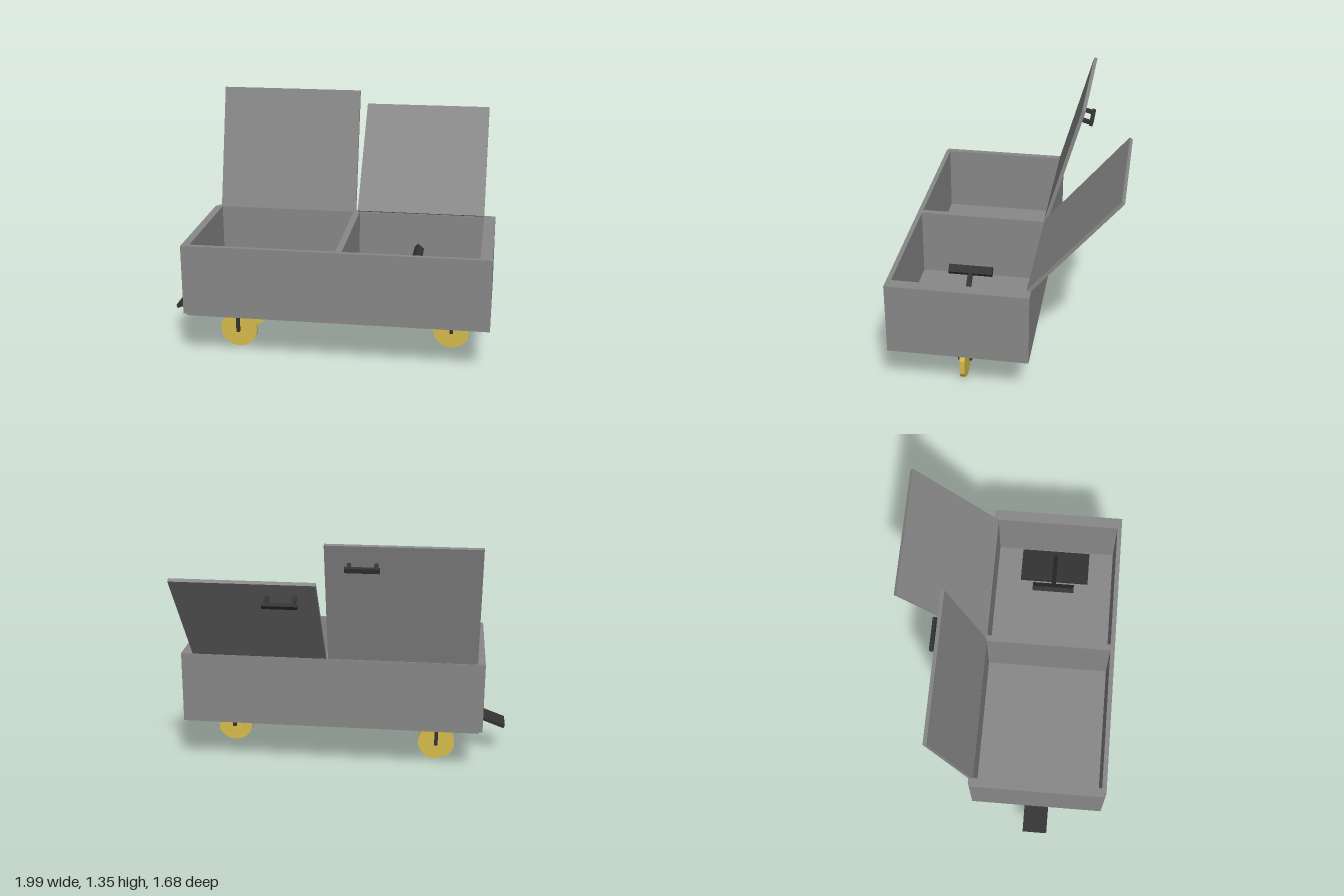
import * as THREE from 'three';

export function createModel() {
  const model = new THREE.Group();
  // everything is built along local x (length) and z (width), then turned
  const cart = new THREE.Group();
  cart.name = 'cart';
  cart.position.set(-0.1, 0, 0.06);
  cart.rotation.y = -0.588;
  model.add(cart);

  const mat = (color) => new THREE.MeshStandardMaterial({ color, flatShading: true });
  const grey = mat(0x888888), dark = mat(0x333333), yellow = mat(0xd8bc4c);

  // box given by its low and high corners
  function box(name, material, a, b, parent = cart) {
    const geo = new THREE.BoxGeometry(b[0] - a[0], b[1] - a[1], b[2] - a[2]);
    const mesh = new THREE.Mesh(geo, material);
    mesh.position.set((a[0] + b[0]) / 2, (a[1] + b[1]) / 2, (a[2] + b[2]) / 2);
    mesh.name = name;
    parent.add(mesh);
    return mesh;
  }

  // flat bar from p to q in the xy plane, w wide across z
  function bar(name, p, q, t, w) {
    const dx = q[0] - p[0], dy = q[1] - p[1];
    const mesh = new THREE.Mesh(new THREE.BoxGeometry(Math.hypot(dx, dy), t, w), dark);
    mesh.position.set((p[0] + q[0]) / 2, (p[1] + q[1]) / 2, 0);
    mesh.rotation.z = Math.atan2(dy, dx);
    mesh.name = name;
    cart.add(mesh);
  }

  // open chest with two compartments
  const y0 = 0.265, y1 = 0.665;
  box('floor', grey, [-0.81, y0, -0.375], [0.83, y0 + 0.02, 0.375]);
  box('frontWall', grey, [-0.81, y0, 0.35], [0.83, y1, 0.375]);
  box('backWall', grey, [-0.81, y0, -0.375], [0.83, y1, -0.35]);
  box('leftEndWall', grey, [0.766, y0, -0.35], [0.83, y1, 0.35]);
  box('rightEndWall', grey, [-0.81, y0, -0.35], [-0.785, y1, 0.35]);
  box('endPanel', grey, [-0.832, y0 + 0.005, -0.368], [-0.81, y1 - 0.005, 0.368]);
  box('divider', grey, [0.005, y0, -0.35], [0.04, y1, 0.35]);

  // lids hinged on the back wall, each with a pull handle outside
  function lid(name, x0, x1, tilt, handleX) {
    const g = new THREE.Group();
    g.name = name;
    g.position.set(0, y1, -0.36);
    g.rotation.x = -tilt;
    box('lidPanel', grey, [x0, 0, -0.01], [x1, 0.706, 0.01], g);
    for (const s of [-1, 1]) {
      const x = handleX + s * 0.07;
      box('handlePost', dark, [x - 0.01, 0.59, -0.06], [x + 0.01, 0.61, -0.01], g);
    }
    box('handleGrip', dark, [handleX - 0.09, 0.587, -0.075], [handleX + 0.09, 0.613, -0.055], g);
    cart.add(g);
  }
  lid('rightLid', -0.79, 0.017, 0.272, -0.18);
  lid('leftLid', 0.027, 0.765, 0.69, 0.21);

  // towing handle in the left compartment
  box('towPlate', dark, [0.555, 0.285, -0.205], [0.755, 0.3, 0.205]);
  bar('towStem', [0.72, 0.295], [0.413, 0.54], 0.025, 0.025);
  bar('towGrip', [0.395, 0.555], [0.43, 0.526], 0.03, 0.24);

  // foot pedal under the right end
  box('pedalPlate', dark, [-0.81, 0.248, -0.205], [-0.61, 0.265, 0.205]);
  bar('pedal', [-0.77, 0.252], [-0.965, 0.18], 0.02, 0.136);

  // casters with a wedge cut out of each wheel
  function caster(x, z, notch) {
    const g = new THREE.Group();
    g.name = 'caster';
    g.position.set(x, 0.103, z);
    const s = new THREE.Shape();
    s.moveTo(0.005, 0);
    s.absarc(0, 0, 0.103, 0.4, Math.PI * 2 - 0.4, false);
    s.closePath();
    const geo = new THREE.ExtrudeGeometry(s, { depth: 0.028, bevelEnabled: false, curveSegments: 36 });
    geo.translate(0, 0, -0.014);
    const wheel = new THREE.Mesh(geo, yellow);
    wheel.rotation.z = notch;
    wheel.name = 'wheel';
    g.add(wheel);
    for (const side of [-1, 1]) {
      const zz = side * 0.031;
      box('forkProng', dark, [-0.01, -0.01, zz - 0.007], [0.01, 0.122, zz + 0.007], g);
    }
    box('forkBridge', dark, [-0.014, 0.107, -0.038], [0.014, 0.122, 0.038], g);
    const stem = new THREE.Mesh(new THREE.CylinderGeometry(0.012, 0.012, 0.045, 16), dark);
    stem.position.y = 0.143;
    stem.name = 'stem';
    g.add(stem);
    cart.add(g);
  }
  caster(0.613, 0, 0);
  caster(-0.58, 0.14, 1.2);
  caster(-0.58, -0.14, -1.9);

  return model;
}
